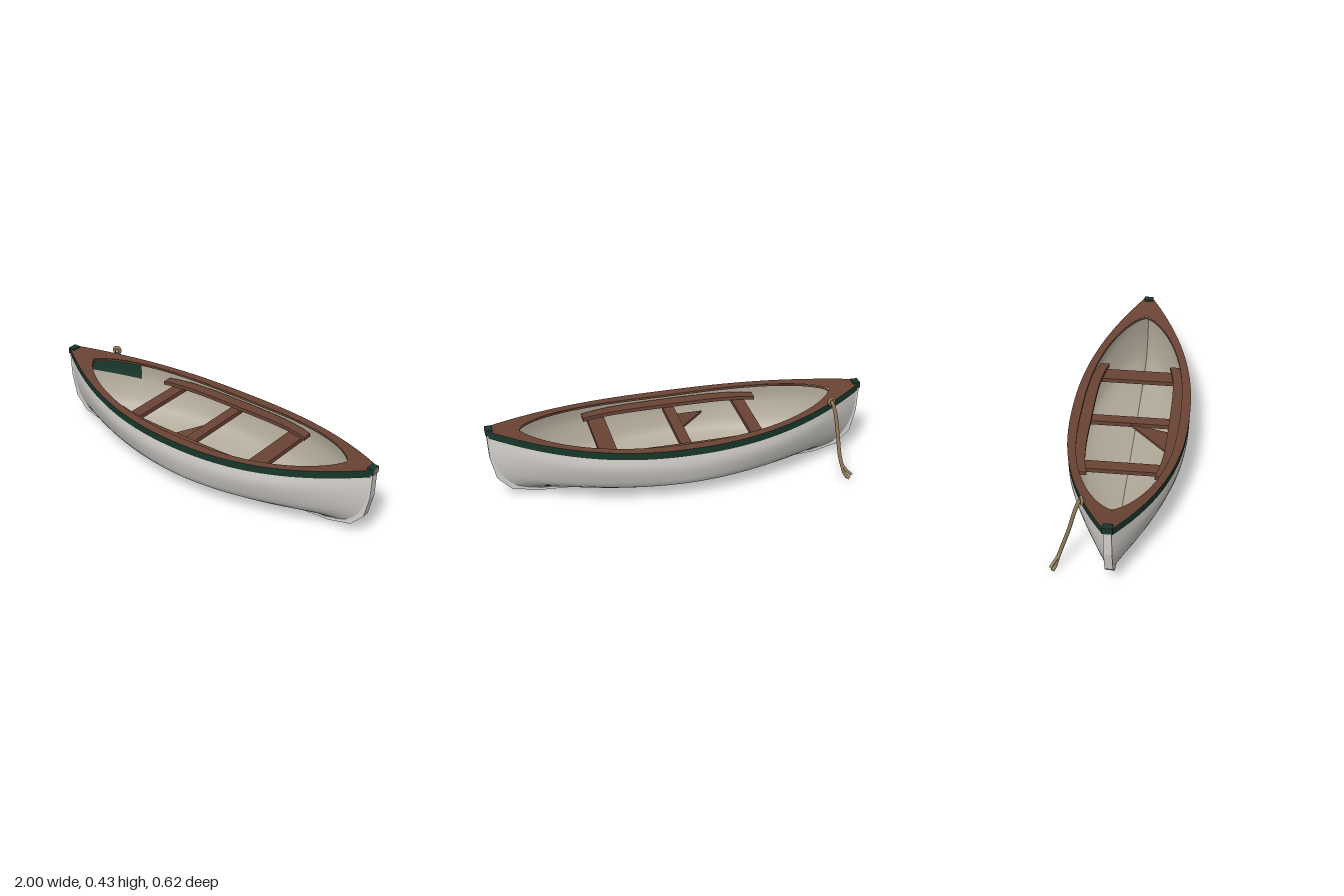
import * as THREE from 'three';

const material = (name, color) => {
  const m = new THREE.MeshStandardMaterial({ color, side: THREE.DoubleSide });
  m.name = name;
  return m;
};

export function createModel() {
  const boat = new THREE.Group();
  boat.name = 'rowingBoat';
  const white = material('hullWhite', 0xd6d3ce);
  const cream = material('interiorGrey', 0xb2aa9a);
  const green = material('railGreen', 0x18382c);
  const brown = material('woodBrown', 0x6b4435);
  const tan = material('ropeTan', 0x8f7856);
  const grey = material('stemCapGrey', 0x8b8174);

  const add = (name, geometry, mat) => {
    const mesh = new THREE.Mesh(geometry, mat);
    mesh.name = name;
    boat.add(mesh);
    return mesh;
  };

  // Grid surface from a rule fn(u, v) -> [x, y, z], with u in [u0, u1] and v in [v0, v1]
  const sheet = (fn, [u0, u1, nu], [v0, v1, nv]) => {
    const pos = [], index = [];
    for (let j = 0; j <= nv; j++)
      for (let i = 0; i <= nu; i++)
        pos.push(...fn(u0 + (u1 - u0) * i / nu, v0 + (v1 - v0) * j / nv));
    for (let j = 0; j < nv; j++)
      for (let i = 0; i < nu; i++) {
        const a = j * (nu + 1) + i, b = a + nu + 1;
        index.push(a, a + 1, b, a + 1, b + 1, b);
      }
    const g = new THREE.BufferGeometry();
    g.setAttribute('position', new THREE.Float32BufferAttribute(pos, 3));
    g.setIndex(index);
    g.computeVertexNormals();
    return g;
  };

  // Midship section from sheer to keel: half breadth, height, length reached at that level
  const section = new THREE.CatmullRomCurve3([
    [0.3, 0.31, 0.985], [0.304, 0.24, 0.985], [0.288, 0.17, 0.97], [0.258, 0.105, 0.93],
    [0.155, 0.06, 0.87], [0.02, 0.033, 0.76], [0, 0.03, 0.75],
  ].map(p => new THREE.Vector3(...p)));
  // The ends grow finer towards the keel
  const hull = (side, inset) => (u, v) => {
    const p = section.getPoint(v);
    const w = Math.max(0, p.x - inset), end = Math.min(w, Math.max(0, 0.016 - inset));
    const fullness = 1.6 + 0.7 * Math.min(1, p.y / 0.25);
    const z = end + (w - end) * (1 - Math.abs(u) ** fullness);
    const y = p.y + 0.8 * inset + (0.01 + 0.285 * (p.y - 0.03)) * u * u;
    return [u * (p.z - inset), y, side * z];
  };

  // Rail and deck outlines
  const sheer = x => 0.34 + 0.085 * x * x;
  const railZ = u => 0.026 + 0.282 * (1 - Math.abs(u) ** 2.25);
  const openZ = x => 0.258 * Math.max(0, 1 - Math.abs(x / 0.83) ** 2.5) ** 0.7;
  const along = [-1, 1, 72];

  for (const side of [1, -1]) {
    add('hullSide', sheet(hull(side, 0), along, [0, 1, 18]), white);
    add('hullLining', sheet(hull(side, 0.016), along, [0, 1, 18]), cream);

    // Green rail: outer face and underside
    add('railFace', sheet((u, v) => [0.985 * u, sheer(u) - 0.041 * v, side * (railZ(u) - 0.002 * v)],
      along, [0, 1, 1]), green);
    add('railUnderside', sheet((u, v) => [0.985 * u, sheer(u) - 0.041, side * (railZ(u) - 0.002 - 0.02 * v)],
      along, [0, 1, 1]), green);

    // Deck round the opening, closed at both ends, with a shallow inner lip
    add('gunwaleDeck', sheet((u, v) => [0.985 * u, sheer(u),
      side * (railZ(u) * (1 - v) + openZ(0.985 * u) * v)], [-1, 1, 120], [0, 1, 1]), brown);
    add('gunwaleLip', sheet((u, v) => [0.83 * u, sheer(0.83 * u) - 0.012 * v, side * openZ(0.83 * u)],
      [-1, 1, 96], [0, 1, 1]), brown);

    // Side bench, curved slightly inward at its ends
    const benchShape = new THREE.Shape();
    const inner = x => 0.203 - 0.035 * (x / 0.47) ** 4;
    for (let i = 0; i <= 16; i++) {
      const x = -0.47 + 0.94 * i / 16;
      i ? benchShape.lineTo(x, inner(x)) : benchShape.moveTo(x, inner(x));
    }
    for (let i = 16; i >= 0; i--) {
      const x = -0.47 + 0.94 * i / 16;
      benchShape.lineTo(x, inner(x) + 0.062 - 0.012 * (x / 0.47) ** 2);
    }
    const bench = add('sideBench',
      new THREE.ExtrudeGeometry(benchShape, { depth: 0.02, bevelEnabled: false }), brown);
    bench.rotation.x = side * Math.PI / 2;
    bench.position.y = side > 0 ? 0.314 : 0.294;
  }

  // Seats across the boat
  for (const [x, width] of [[-0.385, 0.065], [0, 0.058], [0.4, 0.09]]) {
    const seat = add('crossSeat', new THREE.BoxGeometry(width, 0.024, 0.45), brown);
    seat.position.set(x, 0.283, 0);
  }

  // Corner board beside the middle seat, sloping down to the side
  const corner = new THREE.Shape([[-0.185, 0.208], [-0.025, 0], [-0.025, 0.208]]
    .map(p => new THREE.Vector2(...p)));
  const board = add('cornerBoard',
    new THREE.ExtrudeGeometry(corner, { depth: 0.012, bevelEnabled: false }), brown);
  board.rotation.x = Math.PI / 2 + 0.2;
  board.position.y = 0.288;

  // Keel and both stems as one bent bar
  const outer = [[0, 0.013], [0.5, 0.018], [0.76, 0.033], [0.89, 0.066], [0.96, 0.14], [0.988, 0.26], [0.995, 0.4]];
  const inside = [[0.968, 0.4], [0.962, 0.26], [0.925, 0.145], [0.85, 0.078], [0.74, 0.045], [0.5, 0.036], [0, 0.034]];
  const mirror = pts => pts.slice().reverse().map(([x, y]) => [-x, y]);
  const keelShape = new THREE.Shape([
    ...outer, ...inside, ...mirror(inside).slice(1), ...mirror(outer).slice(0, -1),
  ].map(p => new THREE.Vector2(...p)));
  const keel = new THREE.ExtrudeGeometry(keelShape, { depth: 0.04, bevelEnabled: false });
  keel.translate(0, 0, -0.02);
  add('keelAndStems', keel, white);

  // Stem caps
  for (const s of [1, -1])
    add('stemCap', new THREE.BoxGeometry(0.036, 0.034, 0.05), green).position.set(s * 0.98, 0.413, 0);
  add('stemCapEnd', new THREE.BoxGeometry(0.004, 0.028, 0.046), grey).position.set(0.998, 0.415, 0);

  // Painted patches inside one end and low on the hull
  add('innerPatch', sheet(hull(-1, 0.019), [-0.95, -0.66, 14], [0, 0.2, 4]), green);
  add('hullPatch', sheet(hull(-1, -0.002), [0.757, 0.785, 2], [0.51, 0.57, 2]), green);

  // Mooring rope hanging over the side, with a frayed end and a knot loop
  const rope = (name, pts, radius) => add(name, new THREE.TubeGeometry(
    new THREE.CatmullRomCurve3(pts.map(p => new THREE.Vector3(...p))), 28, radius, 7), tan);
  rope('ropeFall', [[-0.785, 0.4, -0.135], [-0.79, 0.416, -0.15], [-0.805, 0.36, -0.175], [-0.815, 0.25, -0.205],
    [-0.82, 0.14, -0.24], [-0.83, 0.08, -0.26], [-0.85, 0.022, -0.278], [-0.866, 0.011, -0.288]], 0.01);
  rope('ropeFrayedEnd', [[-0.83, 0.085, -0.258], [-0.85, 0.055, -0.28], [-0.873, 0.035, -0.296]], 0.008);
  const loop = add('ropeLoop', new THREE.TorusGeometry(0.018, 0.008, 7, 16), tan);
  loop.position.set(-0.792, 0.41, -0.147);
  loop.rotation.y = 0.35;

  return boat;
}
